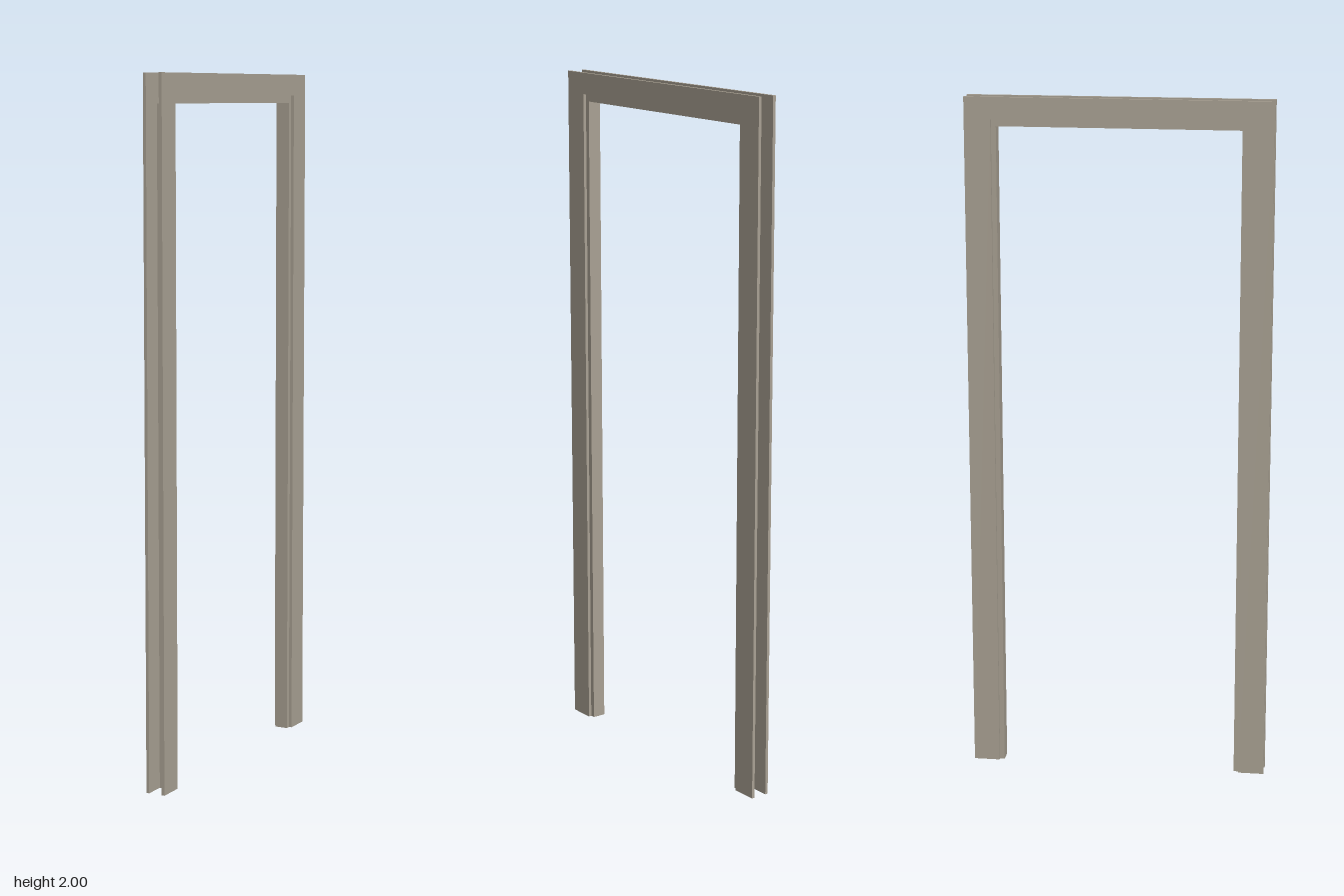
import * as THREE from 'three';

export function createModel() {
  const group = new THREE.Group();
  group.name = 'doorFrame';
  const material = new THREE.MeshStandardMaterial({ color: 0xaaa294 });

  const add = (name, geometry, x, y, z) => {
    const mesh = new THREE.Mesh(geometry, material);
    mesh.name = name;
    mesh.position.set(x, y, z);
    group.add(mesh);
  };

  const outer = 0.438;       // casing outer half width
  const casingInner = 0.362; // casing opening half width
  const casingHead = 1.938;  // underside of the casing head
  const jambInner = 0.348;
  const jambOuter = 0.378;
  const jambHead = 1.917;
  const jambHalf = 0.02;     // half depth of the jamb along x
  const casingThick = 0.009;

  // Flat U-shaped casing on both faces of the wall
  const outline = new THREE.Shape([
    [-outer, 0], [-casingInner, 0], [-casingInner, casingHead], [casingInner, casingHead],
    [casingInner, 0], [outer, 0], [outer, 2], [-outer, 2],
  ].map(([z, y]) => new THREE.Vector2(z, y)));
  const casing = new THREE.ExtrudeGeometry(outline, { depth: casingThick, bevelEnabled: false });
  casing.translate(0, 0, -casingThick / 2).rotateY(Math.PI / 2);

  // Jamb posts, set between the casings
  const thick = jambOuter - jambInner;
  const post = new THREE.BoxGeometry(jambHalf * 2, jambHead, thick);

  for (const [side, s] of [['left', 1], ['right', -1]]) {
    add(side + 'Casing', casing, s * (jambHalf + casingThick / 2), 0, 0);
  }
  for (const [end, s] of [['front', 1], ['back', -1]]) {
    add(end + 'JambPost', post, 0, jambHead / 2, s * (jambInner + jambOuter) / 2);
  }

  // Head jamb resting on the posts: a hollow length without end caps
  const head = new THREE.BoxGeometry(jambHalf * 2, thick, jambOuter * 2);
  head.setIndex(Array.from(head.index.array.slice(0, 24)));
  head.clearGroups();
  add('headJamb', head, 0, jambHead + thick / 2, 0);

  return group;
}
